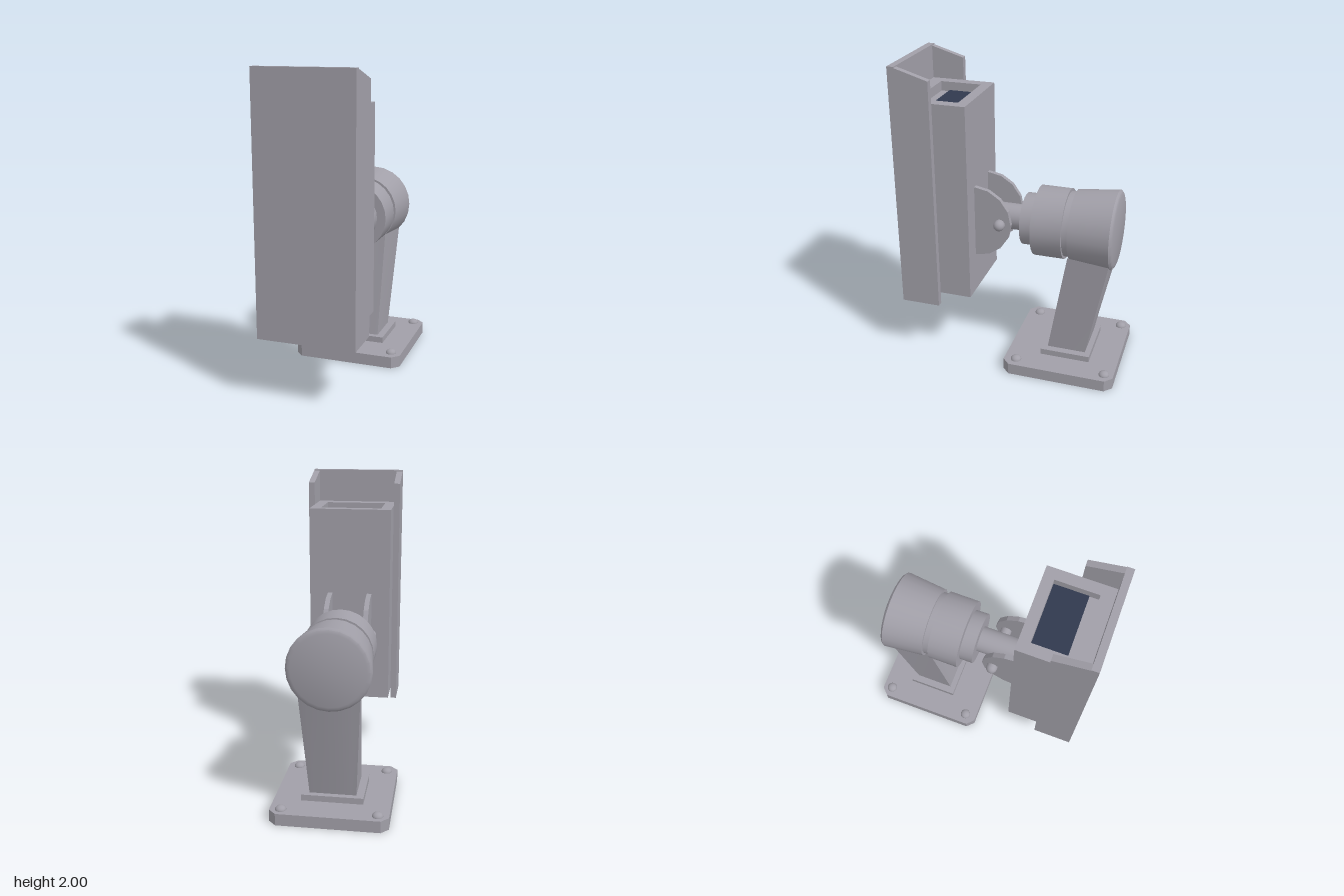
import * as THREE from 'three';
import { toCreasedNormals } from 'three/addons/utils/BufferGeometryUtils.js';

export function createModel() {
  const model = new THREE.Group();
  const metal = new THREE.MeshStandardMaterial({ color: 0xa19fa8, side: THREE.DoubleSide });
  metal.name = 'grey metal';
  const glass = new THREE.MeshStandardMaterial({ color: 0x30394e });
  glass.name = 'dark blue glass';

  const add = (name, geometry, material = metal) => {
    const mesh = new THREE.Mesh(geometry, material);
    mesh.name = name;
    model.add(mesh);
    return mesh;
  };
  // Box given by its limits on each axis
  const box = (name, x0, x1, y0, y1, z0, z1, material) =>
    add(name, new THREE.BoxGeometry(x1 - x0, y1 - y0, z1 - z0)
      .translate((x0 + x1) / 2, (y0 + y1) / 2, (z0 + z1) / 2), material);
  // Plan outline from [x, z] points
  const outline = (pts) => pts.map(([x, z]) => new THREE.Vector2(x, -z));
  const rect = (w, z0, z1) => [[-w, z0], [-w, z1], [w, z1], [w, z0]];
  // Upright slab with one rectangular opening
  const slab = (name, pts, hole, y0, y1) => {
    const shape = new THREE.Shape(outline(pts));
    shape.holes.push(new THREE.Path(outline(hole)));
    const g = new THREE.ExtrudeGeometry(shape, { depth: y1 - y0, bevelEnabled: false });
    return add(name, g.rotateX(-Math.PI / 2).translate(0, y0, 0));
  };

  // Base plate and collar, hollow underneath
  const c = 0.047, bw = 0.367, zb = -0.722, zf = 0.015;
  const plan = (t) => {
    const w = bw - t, a = zb + t, b = zf - t;
    return [[-w, a + c], [-w, b - c], [-w + c, b], [w - c, b], [w, b - c], [w, a + c], [w - c, a], [-w + c, a]];
  };
  slab('baseRim', plan(0), plan(0.03), 0, 0.06);
  slab('baseTop', plan(0), rect(0.17, -0.515, -0.225), 0.06, 0.077);
  slab('baseCollar', rect(0.195, -0.535, -0.205), rect(0.17, -0.515, -0.225), 0.077, 0.1);
  slab('collarTop', rect(0.195, -0.535, -0.205), rect(0.14, -0.49, -0.245), 0.1, 0.117);

  // Domed bolts at the base corners
  for (const x of [-0.297, 0.297]) {
    for (const z of [-0.66, -0.065]) {
      const g = new THREE.SphereGeometry(0.035, 16, 6, 0, Math.PI * 2, 0, Math.PI / 2);
      add('baseBolt', g.scale(1, 0.75, 1).translate(x, 0.077, z));
    }
  }

  // Leaning arm whose upper rim follows the underside of the round head
  const cy = 0.98, n = 8;
  const bottom = [], top = [];
  for (const [dir, zLow, zHigh, wHigh, r] of [[1, -0.24, -0.362, 0.16, 0.23], [-1, -0.495, -0.632, 0.184, 0.257]]) {
    for (let i = 0; i <= n; i++) {
      const s = dir * (i / n * 2 - 1), x = s * wHigh;
      bottom.push([s * 0.147, 0.1, zLow]);
      top.push([x, cy - Math.sqrt(r * r - x * x), zHigh]);
    }
  }
  const pos = [];
  for (let i = 0; i < bottom.length; i++) {
    const j = (i + 1) % bottom.length;
    pos.push(...bottom[i], ...bottom[j], ...top[j], ...bottom[i], ...top[j], ...top[i]);
  }
  const armGeo = new THREE.BufferGeometry();
  armGeo.setAttribute('position', new THREE.Float32BufferAttribute(pos, 3));
  armGeo.computeVertexNormals();
  add('arm', toCreasedNormals(armGeo, 0.5));

  // Turned parts along z, profiles as [radius, z]
  const turned = (name, profile) => {
    const g = new THREE.LatheGeometry(profile.map(([r, z]) => new THREE.Vector2(r, z)), 24);
    add(name, toCreasedNormals(g.rotateX(Math.PI / 2).translate(0, cy, 0), 0.5));
  };
  turned('head', [[0, -0.655], [0.225, -0.655], [0.245, -0.648], [0.257, -0.635], [0.23, -0.37], [0, -0.37]]);
  const drum = (name, r, z0, z1) => turned(name, [[0, z0], [r, z0], [r, z1], [0, z1]]);
  drum('headNeck', 0.212, -0.372, -0.328);
  drum('swivelRing', 0.229, -0.33, -0.132);
  drum('swivelCollar', 0.17, -0.134, -0.045);
  drum('swivelShaft', 0.085, -0.047, 0.255);

  // Half-round hinge plates either side of the shaft
  for (const side of [-1, 1]) {
    const half = new THREE.Shape();
    for (let i = 0; i <= 8; i++) {
      const a = Math.PI / 2 - i * Math.PI / 8;
      const p = [0.24 * Math.cos(a), 0.24 * Math.sin(a)];
      if (i) half.lineTo(...p); else half.moveTo(...p);
    }
    const g = new THREE.ExtrudeGeometry(half, { depth: 0.032, bevelEnabled: false });
    g.translate(0, 0, -0.016).rotateY(Math.PI / 2).translate(side * 0.132, cy, 0.257);
    add(side > 0 ? 'leftHingePlate' : 'rightHingePlate', g);
  }

  // Hinge pin with rounded ends
  add('hingePin', new THREE.CapsuleGeometry(0.036, 0.328, 6, 16)
    .rotateZ(Math.PI / 2).translate(0, cy, 0.09));

  // Housing with a recessed window on top
  box('housing', -0.27, 0.27, 0.48, 1.72, 0.257, 0.682);
  slab('housingRim', rect(0.27, 0.257, 0.682), rect(0.2, 0.325, 0.597), 1.72, 1.783);
  box('window', -0.2, 0.2, 1.72, 1.728, 0.325, 0.54, glass);

  // Front cover with side wings sloping down at the back
  box('frontCover', -0.31, 0.31, 0.4, 2, 0.68, 0.725);
  for (const side of [-1, 1]) {
    const wing = new THREE.Shape([[-0.68, 0.4], [-0.468, 0.4], [-0.468, 1.93], [-0.68, 1.993]]
      .map(([x, y]) => new THREE.Vector2(x, y)));
    const g = new THREE.ExtrudeGeometry(wing, { depth: 0.04, bevelEnabled: false });
    g.translate(0, 0, -0.02).rotateY(Math.PI / 2).translate(side * 0.29, 0, 0);
    add(side > 0 ? 'leftWing' : 'rightWing', g);
  }
  return model;
}
